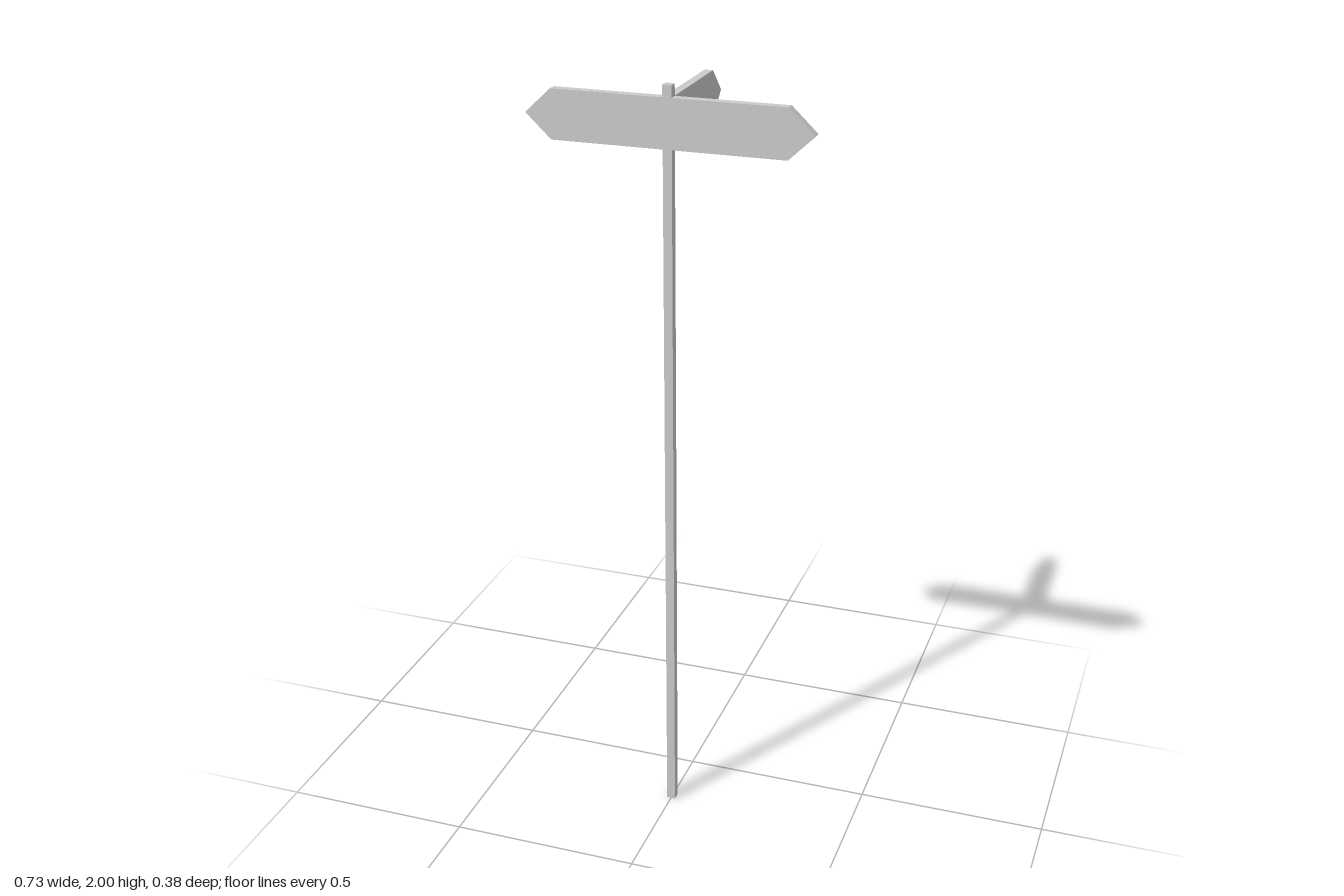
import * as THREE from 'three';

const THICK = 0.024;   // board thickness
const POLE_Z = 0.176;  // post axis
const BOTTOM = 1.845, TOP = 1.97, MID = (BOTTOM + TOP) / 2;

const material = new THREE.MeshStandardMaterial({ color: 0xcccccc, flatShading: true });

// Flat board drawn in the XY plane, centred on its thickness
function board(name, points) {
  const shape = new THREE.Shape(points.map(([x, y]) => new THREE.Vector2(x, y)));
  const geometry = new THREE.ExtrudeGeometry(shape, { depth: THICK, bevelEnabled: false });
  geometry.translate(0, 0, -THICK / 2);
  const mesh = new THREE.Mesh(geometry, material);
  mesh.name = name;
  mesh.position.z = POLE_Z;
  return mesh;
}

export function createModel() {
  const group = new THREE.Group();
  group.name = 'signpost';

  // Square post, a hair slimmer than the boards it carries
  const post = new THREE.Mesh(new THREE.BoxGeometry(0.023, 2, 0.023), material);
  post.name = 'post';
  post.position.set(0, 1, POLE_Z);
  group.add(post);

  // Long board across the front, pointed at both ends
  group.add(board('crossSign', [
    [-0.297, BOTTOM], [0.297, BOTTOM], [0.363, MID],
    [0.297, TOP], [-0.297, TOP], [-0.363, MID],
  ]));

  // Single arrow pointing to the back, butted against the post
  const backSign = board('backSign', [
    [0, BOTTOM], [0.3, BOTTOM], [0.366, MID], [0.3, TOP], [0, TOP],
  ]);
  backSign.rotation.y = Math.PI / 2;
  backSign.scale.z = 0.92;
  group.add(backSign);

  return group;
}
